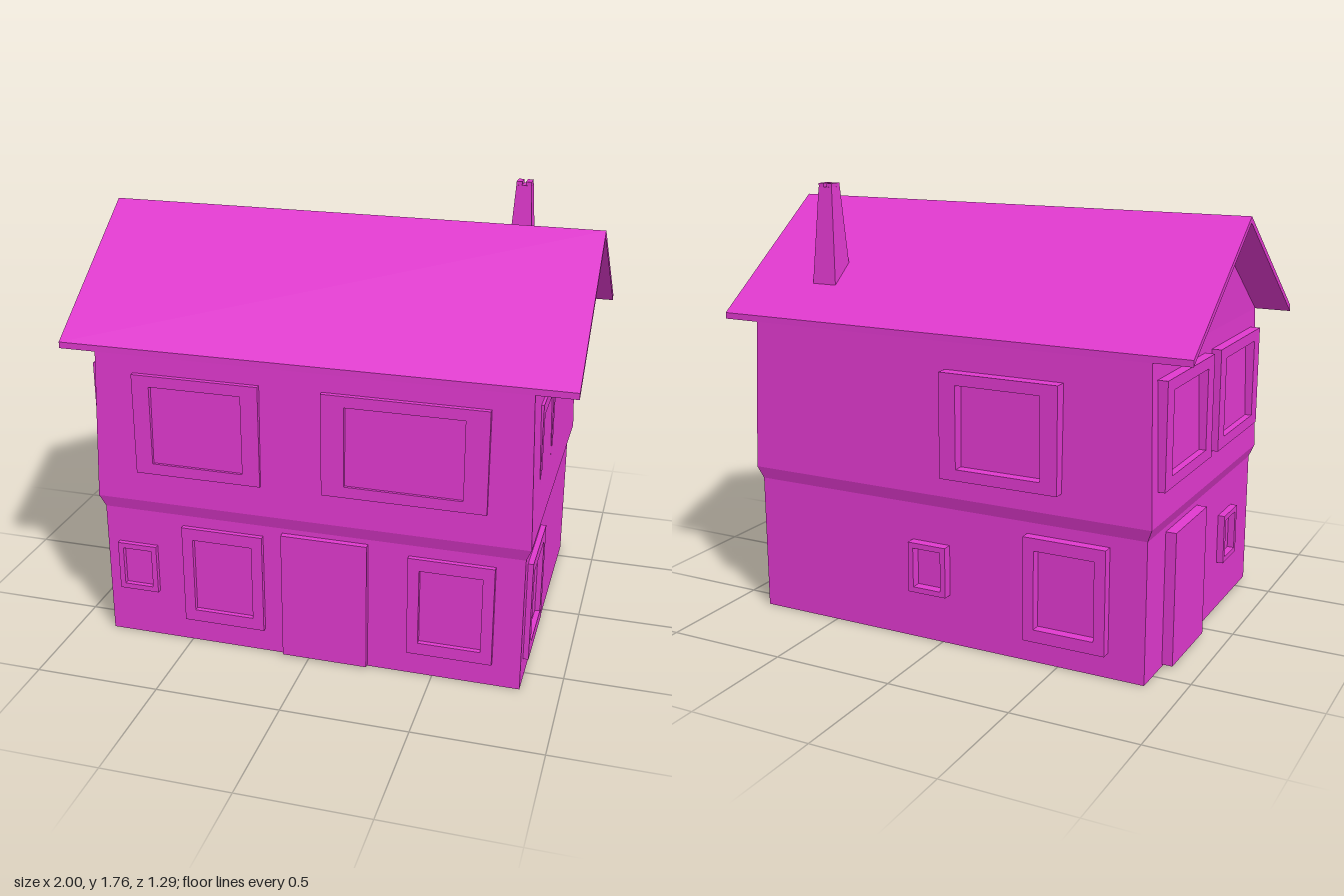
import * as THREE from 'three';

const material = new THREE.MeshStandardMaterial({ color: 0xe039ce, flatShading: true });

// Turn of each wall so that local +z points outwards
const SIDES = { front: 0, right: Math.PI, left: Math.PI / 2, back: Math.PI };
SIDES.right = -Math.PI / 2; // model's own right is -x

function add(parent, name, geometry) {
  const mesh = new THREE.Mesh(geometry, material);
  mesh.name = name;
  parent.add(mesh);
  return mesh;
}

// Closed solid through rectangular rings [y, x0, x1, z0, z1], bottom to top
function loft(rings) {
  const pos = [], idx = [];
  for (const [y, x0, x1, z0, z1] of rings) pos.push(x0, y, z1, x1, y, z1, x1, y, z0, x0, y, z0);
  for (let r = 0; r < rings.length - 1; r++) {
    for (let i = 0; i < 4; i++) {
      const a = r * 4 + i, b = r * 4 + (i + 1) % 4;
      idx.push(a, b, b + 4, a, b + 4, a + 4);
    }
  }
  const t = (rings.length - 1) * 4;
  idx.push(0, 2, 1, 0, 3, 2, t, t + 1, t + 2, t, t + 2, t + 3);
  const geometry = new THREE.BufferGeometry();
  geometry.setAttribute('position', new THREE.Float32BufferAttribute(pos, 3));
  geometry.setIndex(idx);
  const flat = geometry.toNonIndexed();
  flat.computeVertexNormals();
  return flat;
}

// Prism along x from a [z, y] outline
function prism(points, x0, x1) {
  const shape = new THREE.Shape(points.map(([z, y]) => new THREE.Vector2(-z, y)));
  const geometry = new THREE.ExtrudeGeometry(shape, { depth: x1 - x0, bevelEnabled: false });
  return geometry.translate(0, 0, x0).rotateY(Math.PI / 2);
}

function rect(Type, u0, u1, y0, y1) {
  return new Type([[u0, y0], [u1, y0], [u1, y1], [u0, y1]].map(p => new THREE.Vector2(...p)));
}

// Raised frame on a wall; u runs to the right as seen from outside
function frame(parent, name, side, [u0, u1, y0, y1], face, borderU, borderY) {
  const shape = rect(THREE.Shape, u0, u1, y0, y1);
  if (borderU) {
    shape.holes.push(rect(THREE.Path, u0 + borderU, u1 - borderU, y0 + borderY, y1 - borderY));
  }
  const depth = 0.05;
  const geometry = new THREE.ExtrudeGeometry(shape, { depth, bevelEnabled: false });
  geometry.translate(0, 0, face - depth);
  add(parent, name, geometry).rotation.y = SIDES[side];
}

export function createModel() {
  const house = new THREE.Group();
  house.name = 'house';

  // Walls with a jettied upper storey
  add(house, 'walls', loft([
    [0, -0.85, 0.845, -0.59, 0.62],
    [0.56, -0.85, 0.845, -0.59, 0.62],
    [0.61, -0.87, 0.865, -0.605, 0.635],
    [1.215, -0.85, 0.845, -0.59, 0.62],
  ]));
  add(house, 'gables', prism([[0.62, 1.215], [-0.59, 1.215], [0.015, 1.645]], -0.85, 0.845));

  // Thin pitched roof with overhanging ends
  add(house, 'roof', prism([
    [0.62, 1.215], [0.62, 1.24], [0.015, 1.67], [-0.59, 1.24], [-0.59, 1.215], [0.015, 1.645],
  ], -1, 1));

  // Tapered chimney with two pots
  const chimney = new THREE.Group();
  chimney.name = 'chimney';
  house.add(chimney);
  add(chimney, 'chimneyStack', loft([
    [1.34, 0.573, 0.683, -0.424, -0.308],
    [1.745, 0.599, 0.661, -0.392, -0.334],
  ]));
  for (const x of [0.611, 0.649]) {
    const pot = add(chimney, 'chimneyPot', new THREE.BoxGeometry(0.023, 0.025, 0.056));
    pot.position.set(x, 1.7475, -0.363);
  }

  // Windows: side, outline [u0, u1, y0, y1], outer face, border widths
  const windows = [
    ['front', [-0.695, -0.185, 0.735, 1.145], 0.642, 0.07, 0.045],
    ['front', [0.06, 0.695, 0.735, 1.145], 0.642, 0.09, 0.045],
    ['front', [-0.52, -0.185, 0.1, 0.515], 0.64, 0.045, 0.05],
    ['front', [0.4, 0.735, 0.1, 0.515], 0.64, 0.045, 0.05],
    ['front', [-0.8, -0.635, 0.205, 0.41], 0.64, 0.022, 0.022],
    ['left', [-0.56, -0.225, 0.1, 0.515], 0.866, 0.045, 0.05],
    ['left', [-0.455, -0.115, 0.7, 1.115], 0.859, 0.045, 0.05],
    ['back', [0.025, 0.515, 0.695, 1.11], 0.645, 0.07, 0.045],
    ['back', [0.37, 0.705, 0.1, 0.515], 0.63, 0.045, 0.05],
    ['back', [-0.13, 0.035, 0.205, 0.41], 0.63, 0.022, 0.022],
    ['right', [-0.54, -0.03, 0.735, 1.145], 0.892, 0.07, 0.045],
    ['right', [0.05, 0.56, 0.735, 1.145], 0.892, 0.07, 0.045],
    ['right', [0.22, 0.385, 0.205, 0.41], 0.878, 0.022, 0.022],
  ];
  for (const [side, outline, face, bu, by] of windows) {
    frame(house, side + 'Window', side, outline, face, bu, by);
  }

  // Doors
  frame(house, 'frontDoor', 'front', [-0.105, 0.24, 0.008, 0.54], 0.645);
  frame(house, 'sideDoor', 'right', [-0.405, -0.06, 0.008, 0.54], 0.892);

  return house;
}
